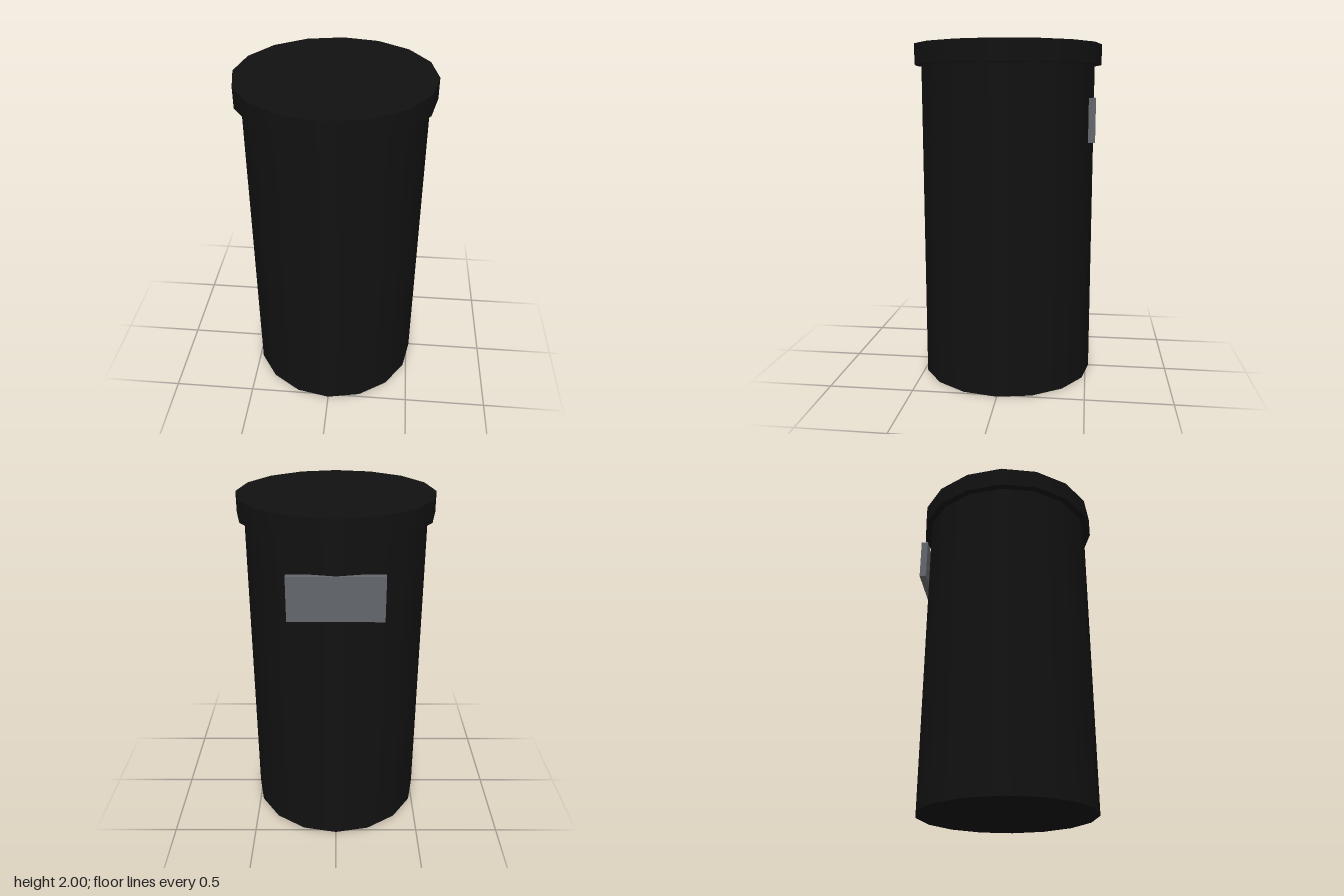
import * as THREE from 'three';

export function createModel() {
  const model = new THREE.Group();
  const black = new THREE.MeshStandardMaterial({ name: 'black', color: 0x111111 });
  const grey = new THREE.MeshStandardMaterial({ name: 'slate grey', color: 0x62666a });

  const add = (name, geometry, material, y, z = 0) => {
    const mesh = new THREE.Mesh(geometry, material);
    mesh.name = name;
    mesh.position.set(0, y, z);
    model.add(mesh);
  };

  // Sixteen-sided canister with an overhanging lid
  add('body', new THREE.CylinderGeometry(0.52, 0.52, 1.88, 16), black, 0.94);
  add('lid', new THREE.CylinderGeometry(0.56, 0.56, 0.12, 16), black, 1.94);

  // Flat label plate set into the back
  add('backPlate', new THREE.BoxGeometry(0.52, 0.25, 0.04), grey, 1.565, -0.51);

  return model;
}
